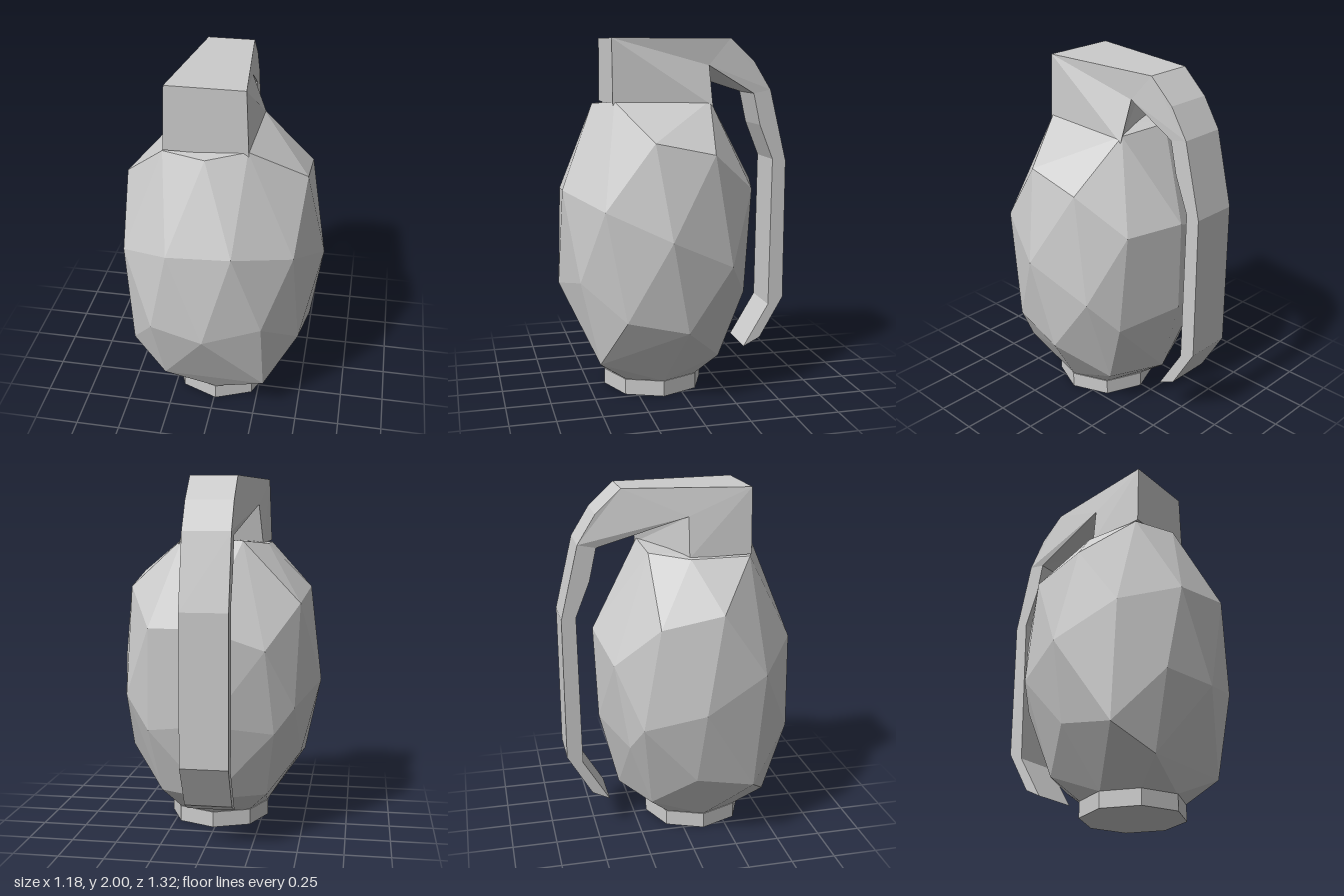
import * as THREE from 'three';
import { ConvexGeometry } from 'three/addons/geometries/ConvexGeometry.js';

const material = new THREE.MeshStandardMaterial({ color: 0xcccccc, flatShading: true });
const FOOT = { x: 0.01, z: 0.115, radius: 0.29, height: 0.09 };

function addPart(group, name, geometry) {
  const mesh = new THREE.Mesh(geometry, material);
  mesh.name = name;
  group.add(mesh);
  return mesh;
}

// Point around a vertical axis: angle in degrees from the front towards +x
function around(angle, radius, y, x = 0, z = 0.09) {
  const a = THREE.MathUtils.degToRad(angle);
  return new THREE.Vector3(x + Math.sin(a) * radius, y, z + Math.cos(a) * radius);
}

// Faceted egg-shaped body: uneven rings of [angle, radius, height]
function bodyGeometry() {
  const rings = [
    // lower edge
    [[38, 0.49, 0.22], [134, 0.42, 0.22], [180, 0.43, 0.22], [226, 0.42, 0.22], [324, 0.47, 0.22]],
    // below the waist
    [[-2, 0.57, 0.62], [31, 0.57, 0.69], [61, 0.55, 0.5], [97, 0.525, 0.43], [140, 0.55, 0.6],
      [180, 0.54, 0.66], [220, 0.55, 0.6], [262, 0.485, 0.42], [298, 0.55, 0.36], [327, 0.59, 0.64]],
    // waist
    [[14, 0.575, 1.18], [50, 0.58, 1.1], [86, 0.59, 0.95], [122, 0.59, 0.78], [144, 0.575, 1.18],
      [178, 0.56, 1.19], [212, 0.58, 1.07], [232, 0.585, 0.74], [266, 0.592, 0.85],
      [302, 0.59, 1.02], [338, 0.57, 1.14]],
    // shoulder
    [[77, 0.495, 1.46], [114, 0.53, 1.39], [241, 0.55, 1.31], [277, 0.525, 1.38]]
  ];
  const points = rings.flat().map(([angle, radius, y]) => around(angle, radius, y));

  // Underside closes on the rim of the foot
  for (let i = 0; i < 8; i++) {
    points.push(around(i * 45, FOOT.radius - 0.005, FOOT.height, FOOT.x, FOOT.z));
  }

  // Top meeting the neck
  points.push(
    new THREE.Vector3(-0.03, 1.64, 0.45),
    new THREE.Vector3(0.18, 1.66, 0.36),
    new THREE.Vector3(-0.27, 1.63, 0.36),
    new THREE.Vector3(0.18, 1.66, -0.18),
    new THREE.Vector3(-0.16, 1.65, -0.18),
    new THREE.Vector3(-0.28, 1.63, 0.03));
  return new ConvexGeometry(points);
}

// Neck block and curved lever share one side profile (z, y)
function leverGeometry() {
  const profile = [
    [0.37, 1.64], [0.37, 2], [-0.32, 2], [-0.46, 1.87], [-0.56, 1.71], [-0.66, 1.3],
    [-0.66, 0.48], [-0.52, 0.24], [-0.42, 0.19], [-0.57, 0.44], [-0.58, 1.31],
    [-0.5, 1.51], [-0.46, 1.69], [-0.19, 1.85], [-0.19, 1.63]
  ].map(([z, y]) => new THREE.Vector2(-z, y));
  const geometry = new THREE.ExtrudeGeometry(new THREE.Shape(profile),
    { depth: 1, bevelEnabled: false });
  geometry.translate(0, 0, -0.5).rotateY(Math.PI / 2);

  // Wider towards the front and at the foot of the neck, whose back wall is slanted
  const { mapLinear } = THREE.MathUtils;
  const p = geometry.attributes.position;
  for (let i = 0; i < p.count; i++) {
    const side = Math.sign(p.getX(i));
    const z = p.getZ(i);
    const t = Math.max(z, -0.32);
    const neckBack = Math.abs(z + 0.19) < 0.01;
    let half = mapLinear(t, -0.32, 0.37, 0.13, 0.21);
    if (z > -0.2 && p.getY(i) < 1.7) half = 0.225;
    if (neckBack && side < 0) {
      half = Math.max(half, 0.2);
      p.setZ(i, 0.03);
    }
    p.setX(i, side * half + mapLinear(t, -0.32, 0.37, -0.02, -0.04));
  }
  geometry.computeVertexNormals();
  return geometry;
}

export function createModel() {
  const group = new THREE.Group();
  addPart(group, 'body', bodyGeometry());
  addPart(group, 'neckAndLever', leverGeometry());

  // Eight-sided foot
  const foot = addPart(group, 'foot',
    new THREE.CylinderGeometry(FOOT.radius, FOOT.radius, FOOT.height, 8));
  foot.position.set(FOOT.x, FOOT.height / 2, FOOT.z);
  return group;
}
